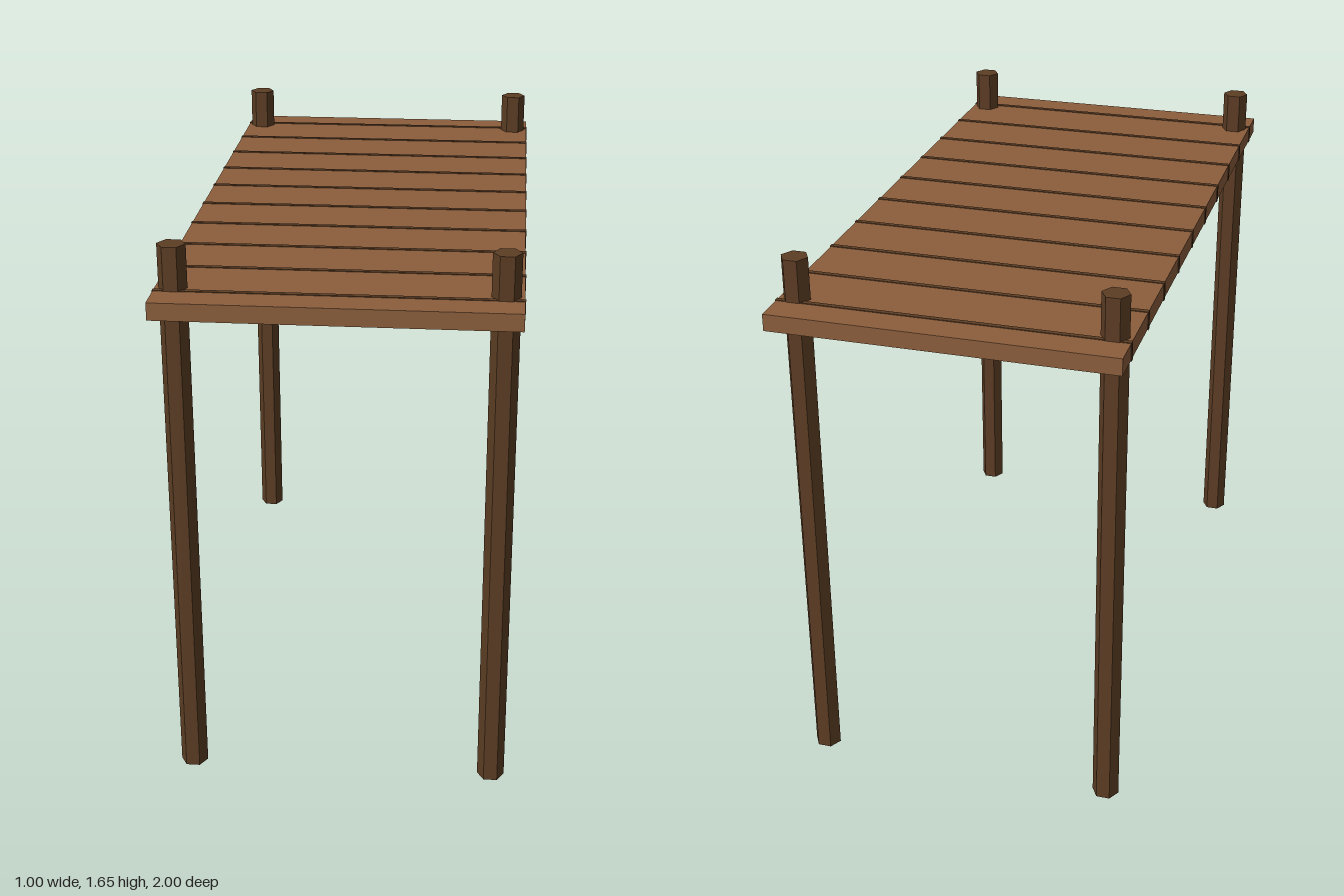
import * as THREE from 'three';

export function createModel() {
  const plankWood = new THREE.MeshStandardMaterial({ color: 0x8b5e3c });
  plankWood.name = 'plankWood';
  const darkWood = new THREE.MeshStandardMaterial({ color: 0x5c3d24, flatShading: true });
  darkWood.name = 'darkWood';

  const model = new THREE.Group();
  model.name = 'dock';
  const add = (name, geometry, material, x, y, z) => {
    const mesh = new THREE.Mesh(geometry, material);
    mesh.name = name;
    mesh.position.set(x, y, z);
    model.add(mesh);
  };

  // Deck slab
  const deckY = 1.5;
  add('deck', new THREE.BoxGeometry(1, 0.05, 2), plankWood, 0, deckY, 0);

  // Dark seams between planks, slightly proud of the deck all round
  const seam = new THREE.BoxGeometry(1.004, 0.054, 0.015);
  for (let i = 0; i < 10; i++) {
    add('plankSeam', seam, darkWood, 0, deckY, -0.9 + i * 0.2);
  }

  // Six-sided corner posts, corners pointing sideways
  const height = 1.65;
  const post = new THREE.CylinderGeometry(0.04, 0.04, height, 6).rotateY(Math.PI / 6);
  for (const x of [-0.45, 0.45]) {
    for (const z of [-0.875, 0.875]) {
      add('post', post, darkWood, x, height / 2, z);
    }
  }
  return model;
}
